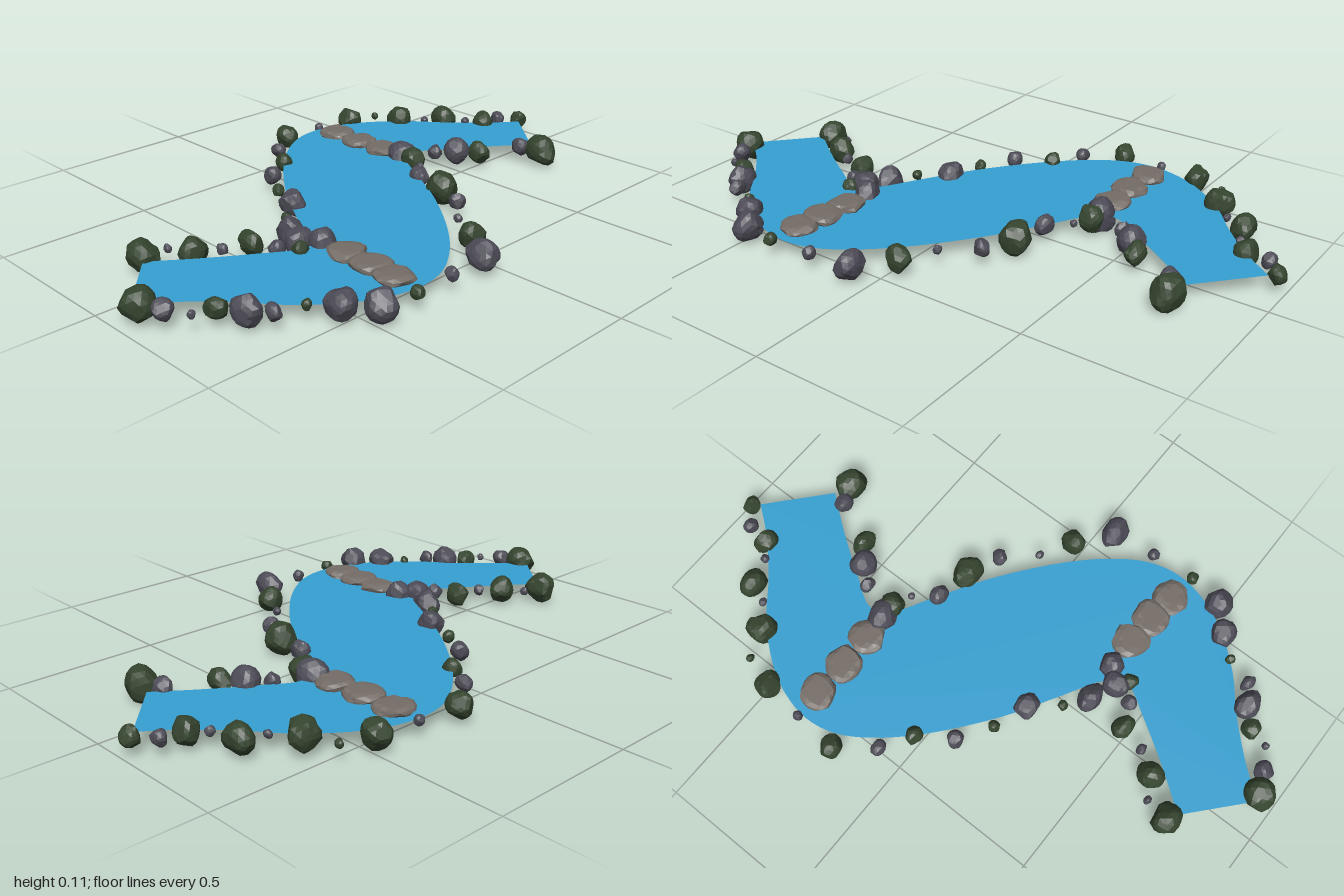
import * as THREE from 'three';

const WATER_Y = 0.055;

const material = (name, color, side = THREE.FrontSide) => {
  const m = new THREE.MeshStandardMaterial({ color, side, flatShading: true });
  m.name = name;
  return m;
};

// Small seeded generator, so every stone has its own repeatable shape
function seeded(seed) {
  let s = (seed * 7919 + 17) % 2147483647;
  return () => (s = (s * 16807) % 2147483647) / 2147483647;
}

// Ball chipped by random planes, then fitted to the given half sizes
function stoneGeometry(seed, hx, hy, hz, topCut = 0) {
  const rand = seeded(seed);
  for (let i = 0; i < 5; i++) rand();
  const cuts = [];
  for (let i = 0; i < 13; i++) {
    const y = rand() * 2 - 1, a = rand() * Math.PI * 2, r = Math.sqrt(1 - y * y);
    cuts.push([new THREE.Vector3(r * Math.cos(a), y, r * Math.sin(a)), 0.74 + rand() * 0.16]);
  }
  if (topCut) cuts.push([new THREE.Vector3(0, 1, 0), topCut], [new THREE.Vector3(0, -1, 0), topCut]);
  const g = new THREE.IcosahedronGeometry(1, 2);
  const p = g.attributes.position, v = new THREE.Vector3();
  for (let i = 0; i < p.count; i++) {
    v.fromBufferAttribute(p, i).normalize();
    let r = 1;
    for (const [n, d] of cuts) {
      const c = n.dot(v);
      if (c > 0) r = Math.min(r, d / c);
    }
    p.setXYZ(i, v.x * r, v.y * r, v.z * r);
  }
  g.center();
  const b = g.boundingBox.getSize(v);
  g.scale(2 * hx / b.x, 2 * hy / b.y, 2 * hz / b.z);
  g.computeVertexNormals();
  return g;
}

// Each row: x, z, half width, half depth
const MOSSY = [
  [-0.12, -0.97, 0.03, 0.03], [-0.19, -0.84, 0.042, 0.035], [-0.33, -0.77, 0.05, 0.037],
  [-0.43, -0.64, 0.046, 0.048], [-0.53, -0.6, 0.015, 0.012], [-0.56, -0.49, 0.046, 0.04],
  [-0.59, -0.2, 0.04, 0.037], [-0.4, -0.02, 0.03, 0.027], [-0.22, 0.16, 0.02, 0.02],
  [-0.03, 0.29, 0.016, 0.016], [0.17, 0.41, 0.027, 0.026], [0.03, 0.48, 0.042, 0.032],
  [-0.04, 0.64, 0.04, 0.047], [-0.12, 0.76, 0.05, 0.045], [0.12, 0.94, 0.053, 0.052],
  [0.28, 0.8, 0.032, 0.03], [0.43, 0.62, 0.017, 0.016], [0.59, 0.36, 0.02, 0.02],
  [0.45, -0.03, 0.037, 0.042], [0.14, -0.24, 0.055, 0.047], [-0.1, -0.36, 0.04, 0.04],
  [0.01, -0.58, 0.045, 0.03], [0.15, -0.76, 0.06, 0.048],
];
const GREY = [
  [-0.18, -0.92, 0.027, 0.022], [-0.24, -0.8, 0.015, 0.015], [-0.36, -0.7, 0.015, 0.012],
  [-0.58, -0.35, 0.016, 0.016], [-0.5, -0.08, 0.027, 0.022], [-0.33, 0.09, 0.03, 0.027],
  [-0.1, 0.2, 0.045, 0.037], [0.05, 0.34, 0.053, 0.037], [0.13, 0.38, 0.04, 0.045],
  [0.18, 0.33, 0.047, 0.04], [0.11, 0.45, 0.024, 0.026], [0.01, 0.57, 0.02, 0.015],
  [-0.11, 0.68, 0.015, 0.012], [0.19, 0.91, 0.032, 0.032], [0.26, 0.87, 0.012, 0.012],
  [0.34, 0.75, 0.05, 0.04], [0.4, 0.71, 0.03, 0.02], [0.49, 0.55, 0.045, 0.042],
  [0.57, 0.48, 0.05, 0.046], [0.58, 0.21, 0.02, 0.02], [0.56, 0.06, 0.053, 0.04],
  [0.34, -0.09, 0.015, 0.012], [0.25, -0.19, 0.027, 0.027], [0.02, -0.26, 0.037, 0.028],
  [-0.04, -0.33, 0.012, 0.012], [-0.15, -0.36, 0.06, 0.05], [-0.1, -0.47, 0.027, 0.022],
  [-0.05, -0.53, 0.047, 0.045], [0.08, -0.73, 0.032, 0.03],
];
const STEPS = [
  [-0.48, -0.35], [-0.36, -0.35], [-0.24, -0.35], [0.28, 0.33], [0.38, 0.335], [0.485, 0.345],
];

// One bank of the stream (x, z); the other bank is the same turned half round
const BANK = [
  [-0.1, -0.95], [-0.17, -0.86], [-0.29, -0.74], [-0.4, -0.65], [-0.5, -0.53], [-0.55, -0.43],
  [-0.57, -0.32], [-0.55, -0.22], [-0.49, -0.12], [-0.38, 0], [-0.18, 0.16], [0, 0.27],
  [0.12, 0.345], [0.155, 0.41], [0.1, 0.51], [0, 0.66], [-0.09, 0.78],
];

export function createModel() {
  const model = new THREE.Group();
  model.name = 'stream';

  // Water surface
  const bank = new THREE.CatmullRomCurve3(BANK.map(([x, z]) => new THREE.Vector3(x, -z, 0)))
    .getPoints(64).map((q) => new THREE.Vector2(q.x, q.y));
  const outline = [...bank, ...bank.map((q) => new THREE.Vector2(-q.x, -q.y))];
  const waterGeometry = new THREE.ShapeGeometry(new THREE.Shape(outline));
  waterGeometry.rotateX(-Math.PI / 2);
  const water = new THREE.Mesh(waterGeometry, material('water blue', 0x36a0d2, THREE.DoubleSide));
  water.name = 'water';
  water.position.y = WATER_Y;
  model.add(water);

  // Boulders and pebbles along the banks
  const addRocks = (name, rows, mat, seed) => {
    const group = new THREE.Group();
    group.name = name + 's';
    rows.forEach(([x, z, hx, hz], i) => {
      const hy = Math.min(0.055, 0.55 * (hx + hz));
      const rock = new THREE.Mesh(stoneGeometry(seed + i, hx, hy, hz), mat);
      rock.name = name;
      rock.position.set(x, 0.057 - Math.max(0, hy - 0.053), z);
      group.add(rock);
    });
    model.add(group);
  };
  addRocks('mossyRock', MOSSY, material('moss green', 0x35452f), 11);
  addRocks('greyRock', GREY, material('slate grey', 0x4d4c57), 101);

  // Two rows of flat stepping stones crossing the water
  const stepMaterial = material('stepping stone taupe', 0x756d67);
  const steps = new THREE.Group();
  steps.name = 'steppingStones';
  STEPS.forEach(([x, z], i) => {
    const stone = new THREE.Mesh(stoneGeometry(211 + i, 0.062, 0.017, 0.061, 0.6), stepMaterial);
    stone.name = 'steppingStone';
    stone.position.set(x, 0.061, z);
    steps.add(stone);
  });
  model.add(steps);

  return model;
}
